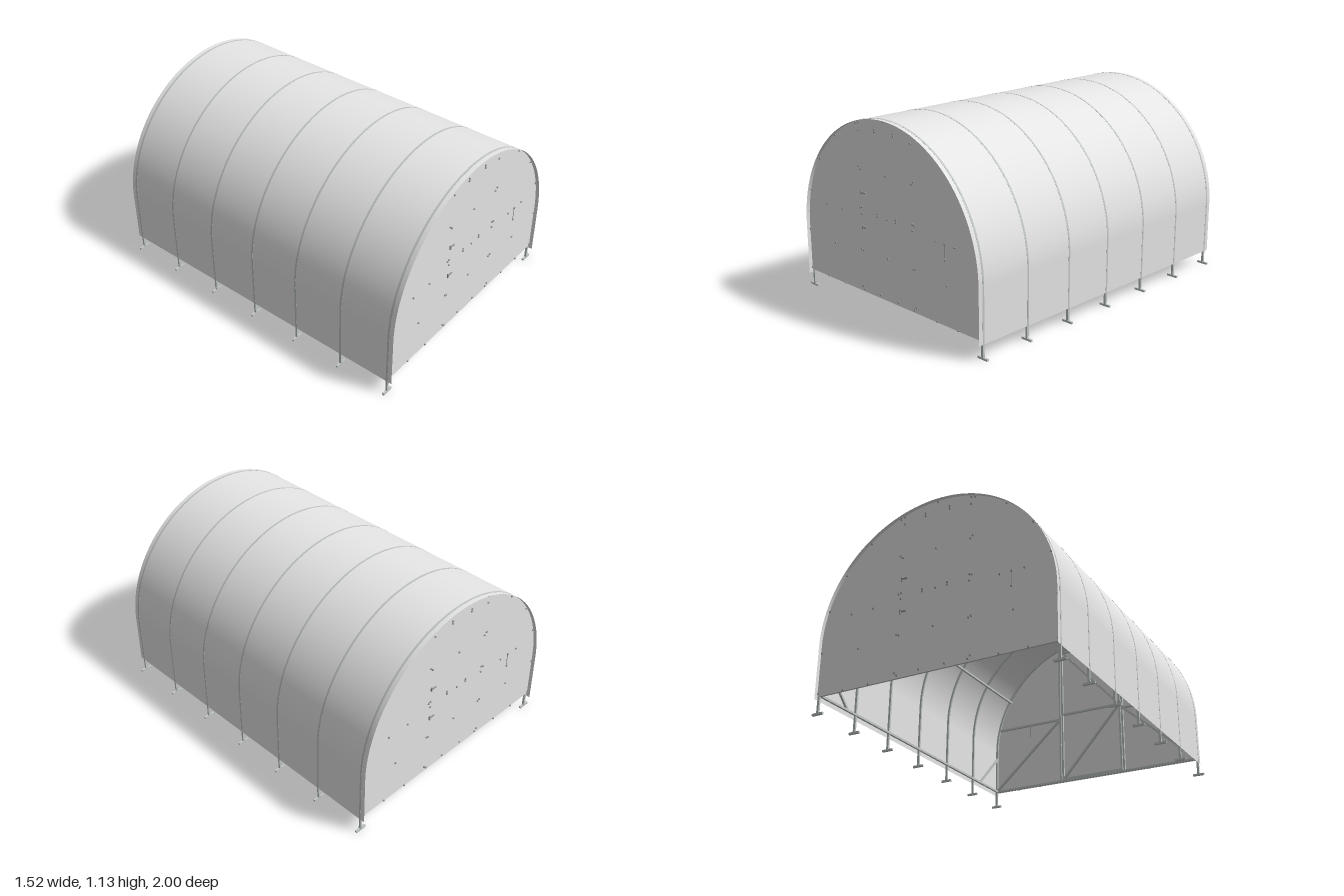
import * as THREE from 'three';
import { toCreasedNormals } from 'three/addons/utils/BufferGeometryUtils.js';

const R = 0.733;       // arch radius
const SPRING = 0.396;  // height where the arch starts
const END = 0.978;     // z of the end walls
const T = 0.013;       // tube thickness

const cover = new THREE.MeshStandardMaterial({ color: 0xe6e6e6, side: THREE.DoubleSide });
cover.name = 'cover grey';
const steel = new THREE.MeshStandardMaterial({ color: 0xc0c6c4 });
steel.name = 'steel grey';
const fitting = new THREE.MeshStandardMaterial({ color: 0x9a9fa0 });
fitting.name = 'fitting grey';

function add(parent, name, geometry, material, x = 0, y = 0, z = 0) {
  const mesh = new THREE.Mesh(geometry, material);
  mesh.name = name;
  mesh.position.set(x, y, z);
  parent.add(mesh);
  return mesh;
}

// Square tube between two points
function bar(parent, name, a, b) {
  const p = new THREE.Vector3(...a), q = new THREE.Vector3(...b);
  const mesh = add(parent, name, new THREE.BoxGeometry(T, T, p.distanceTo(q)), steel);
  mesh.position.copy(p).lerp(q, 0.5);
  mesh.lookAt(q);
}

// Straight sides with a half-round top
function archShape(r, bottom) {
  const s = new THREE.Shape();
  s.moveTo(r, bottom);
  s.lineTo(r, SPRING);
  s.absarc(0, SPRING, r, 0, Math.PI, false);
  s.lineTo(-r, bottom);
  return s;
}

function makeCover() {
  const g = new THREE.Group();
  g.name = 'cover';
  const roof = new THREE.CylinderGeometry(R, R, 2, 64, 1, true, Math.PI / 2, Math.PI).rotateX(Math.PI / 2);
  add(g, 'roof', roof, cover, 0, SPRING, 0);
  const h = SPRING - 0.083;
  for (const s of [-1, 1]) {
    const wall = new THREE.PlaneGeometry(2, h).rotateY(s * Math.PI / 2);
    add(g, 'sideWall', wall, cover, s * R, 0.083 + h / 2, 0);
  }
  return g;
}

// Arched rib with legs and cross feet
function makeRib(z) {
  const g = new THREE.Group();
  g.name = 'rib';
  const outer = R + 0.0005, inner = R - T;
  const s = archShape(outer, 0.01);
  s.lineTo(-inner, 0.01);
  s.lineTo(-inner, SPRING);
  s.absarc(0, SPRING, inner, Math.PI, 0, true);
  s.lineTo(inner, 0.01);
  const geo = new THREE.ExtrudeGeometry(s, { depth: 0.012, bevelEnabled: false, curveSegments: 64 });
  geo.translate(0, 0, -0.006);
  add(g, 'arch', toCreasedNormals(geo, 0.5), steel);
  for (const side of [-1, 1]) {
    add(g, 'foot', new THREE.BoxGeometry(0.07, 0.012, 0.013), steel, side * 0.727, 0.006, 0);
  }
  g.position.z = z;
  return g;
}

// End wall facing +z with its inner door frame and outer fittings
function makeEnd(name) {
  const g = new THREE.Group();
  g.name = name;
  add(g, 'endPanel', new THREE.ShapeGeometry(archShape(R - 0.001, 0.103), 64), cover, 0, 0, END);

  const z = 0.969;
  const tube = (part, x1, y1, x2, y2) => bar(g, part, [x1, y1, z], [x2, y2, z]);
  tube('bottomRail', -0.723, 0.112, 0.723, 0.112);
  for (const m of [-1, 1]) {
    tube('doorPost', m * 0.23, 0.11, m * 0.23, 1.08);
    tube('doorStile', m * 0.213, 0.12, m * 0.213, 1.055);
    tube('sideRail', m * 0.23, 0.556, m * 0.703, 0.556);
    tube('sideBrace', m * 0.24, 0.55, m * 0.72, 0.12);
  }
  for (const y of [0.124, 0.587, 1.058]) tube('doorRail', -0.213, y, 0.213, y);
  tube('doorHeader', -0.23, 1.08, 0.23, 1.08);
  tube('doorBrace', -0.21, 0.587, 0.21, 0.124);
  tube('doorBrace', -0.21, 0.587, 0.21, 1.058);

  // Screw heads
  const mirrored = [
    [0.215, 0.12], [0.23, 0.135], [0.215, 0.352], [0.23, 0.358], [0.215, 0.568], [0.215, 0.605],
    [0.23, 0.6], [0.215, 0.823], [0.23, 0.838], [0.215, 1.04], [0.215, 1.085], [0.24, 1.078],
    [0.078, 0.124], [0.078, 0.58], [0.078, 0.595], [0.078, 1.053], [0.078, 1.068],
    [0.395, 0.556], [0.54, 0.556], [0.477, 0.332], [0.395, 0.108], [0.56, 0.108],
    [0.725, 0.118], [0.725, 0.36], [0.693, 0.608], [0.592, 0.812], [0.434, 0.975],
  ];
  const centre = [[0, 0.355], [0, 0.823], [0, 1.12], [0.005, 0.58]];
  const screw = new THREE.CylinderGeometry(0.0055, 0.0055, 0.006, 8).rotateX(Math.PI / 2);
  const out = END + 0.003;
  for (const [x, y] of mirrored) for (const m of [-1, 1]) add(g, 'screw', screw, fitting, m * x, y, out);
  for (const [x, y] of centre) add(g, 'screw', screw, fitting, x, y, out);

  // Door hinges and pull
  for (const y of [0.49, 0.69]) {
    add(g, 'hingePlate', new THREE.BoxGeometry(0.008, 0.026, 0.008), fitting, -0.214, y, out);
    add(g, 'hingeArm', new THREE.BoxGeometry(0.042, 0.008, 0.006), fitting, -0.198, y, out);
  }
  add(g, 'pull', new THREE.BoxGeometry(0.002, 0.085, 0.003), fitting, 0.465, 0.513, END + 0.001);
  for (const y of [0.47, 0.556]) add(g, 'pullEnd', screw, fitting, 0.465, y, out);
  return g;
}

export function createModel() {
  const model = new THREE.Group();
  model.name = 'archedGreenhouse';
  const backEnd = makeEnd('backEnd');
  backEnd.rotation.y = Math.PI;
  model.add(makeCover(), makeEnd('frontEnd'), backEnd);
  for (let i = -3; i <= 3; i++) model.add(makeRib(i * 0.3227));

  // Lengthwise rails, purlins and corner braces
  bar(model, 'ridgePurlin', [0, 1.11, -0.968], [0, 1.11, 0.968]);
  for (const m of [-1, 1]) {
    bar(model, 'baseRail', [m * 0.72, 0.112, -0.968], [m * 0.72, 0.112, 0.968]);
    bar(model, 'sidePurlin', [m * 0.615, 0.755, -0.968], [m * 0.615, 0.755, 0.968]);
    for (const s of [-1, 1]) {
      bar(model, 'cornerBrace', [m * 0.72, 0.35, s * 0.965], [m * 0.72, 0.115, s * 0.73]);
    }
  }
  return model;
}
